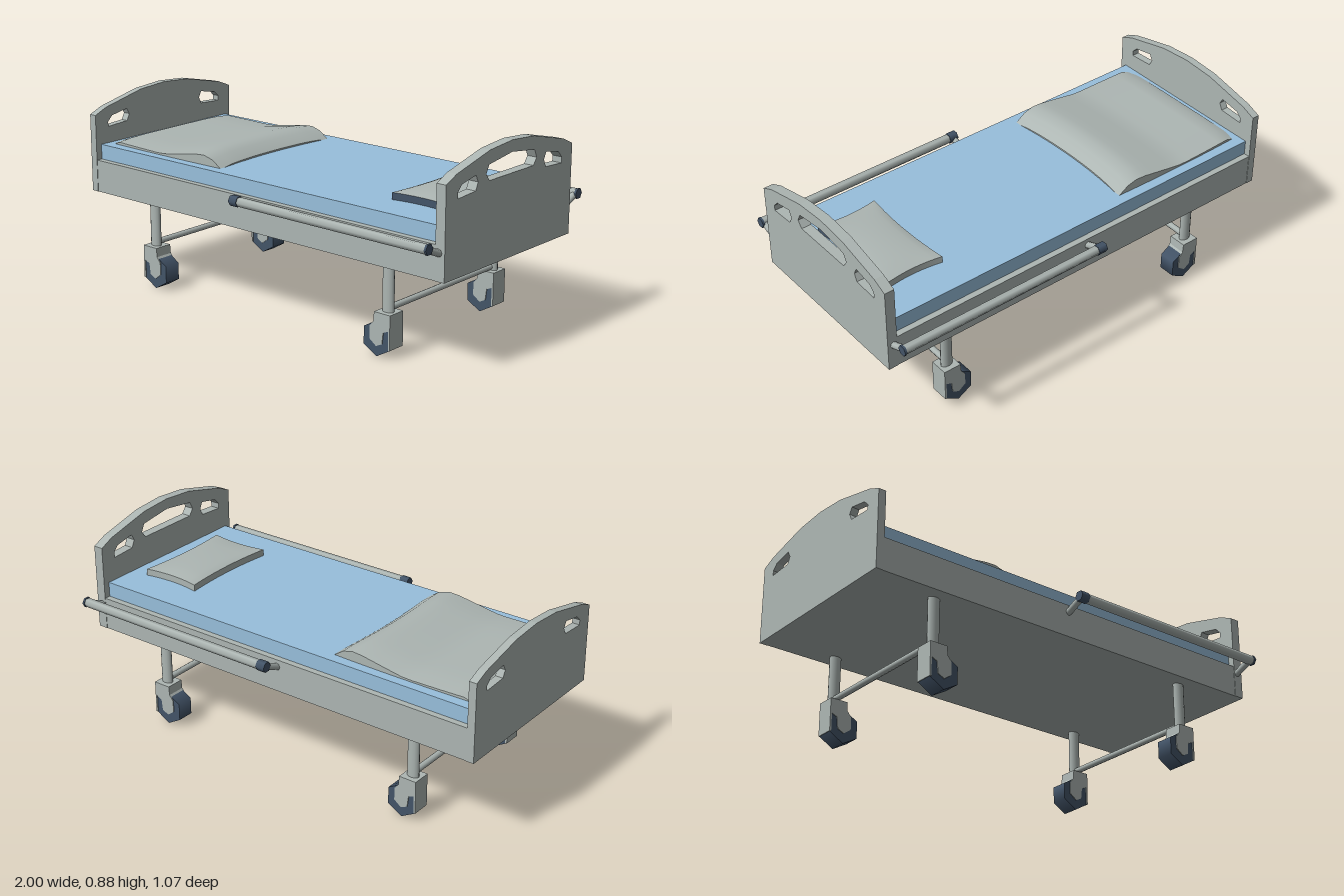
import * as THREE from 'three';

const mat = (name, color) => {
  const m = new THREE.MeshStandardMaterial({ color });
  m.name = name;
  return m;
};

export function createModel() {
  const grey = mat('pale grey', 0xadb6b3);
  const blue = mat('mattress blue', 0x98bfdc);
  const dark = mat('dark slate', 0x435468);
  const bed = new THREE.Group();
  bed.name = 'hospitalBed';

  const add = (name, geo, material, parent = bed) => {
    const mesh = new THREE.Mesh(geo, material);
    mesh.name = name;
    parent.add(mesh);
    return mesh;
  };
  const box = (name, material, x0, x1, y0, y1, z0, z1) =>
    add(name, new THREE.BoxGeometry(x1 - x0, y1 - y0, z1 - z0), material)
      .position.set((x0 + x1) / 2, (y0 + y1) / 2, (z0 + z1) / 2);
  // Round bar between two points
  const bar = (name, a, b, r, material, sides = 8) => {
    const p = new THREE.Vector3(...a), q = new THREE.Vector3(...b);
    const mesh = add(name, new THREE.CylinderGeometry(r, r, p.distanceTo(q), sides), material);
    mesh.position.copy(p).add(q).multiplyScalar(0.5);
    mesh.quaternion.setFromUnitVectors(new THREE.Vector3(0, 1, 0), q.sub(p).normalize());
    return mesh;
  };

  // Deck and mattress
  box('frame', grey, -0.965, 0.955, 0.4, 0.547, -0.428, 0.428);
  box('mattress', blue, -0.965, 0.955, 0.53, 0.615, -0.4, 0.4);

  // End boards: arched outline with grip holes, k scales the height
  const endBoard = (name, x, thick, k, centreHole) => {
    const pts = list => list.map(([z, y]) => new THREE.Vector2(z, 0.4 + (y - 0.4) * k));
    const shape = new THREE.Shape(pts([
      [-0.43, 0.4], [0.43, 0.4], [0.43, 0.79], [0.365, 0.82], [0.15, 0.873],
      [0, 0.885], [-0.15, 0.873], [-0.365, 0.82], [-0.43, 0.79]]));
    const grip = [[0.355, 0.72], [0.355, 0.745], [0.33, 0.772], [0.24, 0.79], [0.225, 0.76], [0.24, 0.727]];
    for (const s of [1, -1]) shape.holes.push(new THREE.Path(pts(grip.map(([z, y]) => [z * s, y]))));
    if (centreHole) shape.holes.push(new THREE.Path(pts([
      [-0.15, 0.75], [0.15, 0.75], [0.172, 0.78], [0.155, 0.815], [0, 0.836], [-0.155, 0.815], [-0.172, 0.78]])));
    const geo = new THREE.ExtrudeGeometry(shape, { depth: thick, bevelEnabled: false });
    add(name, geo.rotateY(Math.PI / 2), grey).position.x = x;
  };
  endBoard('headboard', 0.955, 0.045, 1, true);
  endBoard('footboard', -1, 0.035, 0.907, false);

  // Legs, cross bars and casters; side = -1 foot end, 1 head end
  const extrudeCentred = (points, depth) => {
    const shape = new THREE.Shape(points.map(p => new THREE.Vector2(...p)));
    return new THREE.ExtrudeGeometry(shape, { depth, bevelEnabled: false }).translate(0, 0, -depth / 2);
  };
  for (const side of [-1, 1]) {
    const x = side * 0.67;
    bar('crossBar', [x, 0.204, -0.36], [x, 0.204, 0.36], 0.014, grey);
    for (const s of [-1, 1]) {
      bar('leg', [x, 0.18, s * 0.355], [x, 0.41, s * 0.355], 0.0275, grey, 12).scale.z = 0.66;
      const caster = new THREE.Group();
      caster.name = 'caster';
      caster.position.set(side * 0.64, 0, s * 0.353);
      if (side < 0) caster.rotation.y = Math.PI;
      bed.add(caster);
      const wheel = new THREE.CylinderGeometry(0.077, 0.077, 0.078, 6).rotateX(Math.PI / 2);
      wheel.rotateZ(Math.PI / 6 * (Math.abs(wheel.attributes.position.getX(0)) < 0.01 ? 0 : 1));
      add('wheel', wheel, dark, caster).position.y = 0.077;
      add('casterHousing', extrudeCentred([
        [0.07, 0.19], [-0.012, 0.19], [-0.015, 0.15], [-0.034, 0.125], [-0.034, 0.07],
        [0, 0.045], [0.03, 0.06], [0.036, 0.11], [0.062, 0.122], [0.062, 0.04], [0.07, 0.04]], 0.085), grey, caster);
    }
  }

  // Side rails
  for (const s of [-1, 1]) {
    const rail = (name, x0, x1, r, material) => bar(name, [x0, 0.553, s * 0.513], [x1, 0.553, s * 0.513], r, material, 6);
    rail('sideRail', -0.02, 0.985, 0.021, grey);
    rail('railEndCap', -0.04, 0.003, 0.024, dark);
    rail('railEndCap', 0.98, 0.99, 0.024, dark);
    for (const x of [-0.024, 0.972]) bar('railArm', [x, 0.508, s * 0.41], [x, 0.55, s * 0.51], 0.015, grey);
  }

  // Soft pieces: a gridded slab with pinched edges and a height rule on top
  const soft = (name, x0, x1, z0, z1, pinch, height, materials) => {
    const geo = new THREE.BoxGeometry(1, 1, 1, 14, 1, 10);
    const p = geo.attributes.position;
    for (let i = 0; i < p.count; i++) {
      const u = p.getX(i) + 0.5, v = p.getZ(i) + 0.5;
      const [px0, px1, pz] = pinch;
      const bowX = 4 * v * (1 - v), bowZ = 4 * u * (1 - u);
      const a = x0 + px0 * bowX, b = x1 - px1 * bowX;
      const c = z0 + pz * bowZ, d = z1 - pz * bowZ;
      p.setXYZ(i, a + (b - a) * u, p.getY(i) > 0 ? height(u, v) : 0.61, c + (d - c) * v);
    }
    geo.computeVertexNormals();
    add(name, geo, materials);
  };
  const ramp = [[0, 0.62], [0.05, 0.637], [0.48, 0.632], [0.84, 0.672], [0.93, 0.655], [1, 0.622]];
  const foldHeight = u => {
    const i = Math.max(1, ramp.findIndex(([a]) => a >= u - 1e-6));
    const [a, ya] = ramp[i - 1], [b, yb] = ramp[i];
    return ya + (yb - ya) * (u - a) / (b - a);
  };
  soft('blanket', -0.945, -0.26, -0.35, 0.35, [0, 0.025, -0.006], (u, v) =>
    foldHeight(u) - 0.01 * Math.pow(Math.abs(2 * v - 1), 6), grey);
  soft('pillow', 0.59, 0.872, -0.24, 0.24, [0.015, 0.015, 0.015], (u, v) =>
    0.645 + 0.013 * Math.sqrt(Math.sin(Math.PI * u) * Math.sin(Math.PI * v) + 1e-9),
    [dark, grey, grey, dark, dark, grey]);

  return bed;
}
